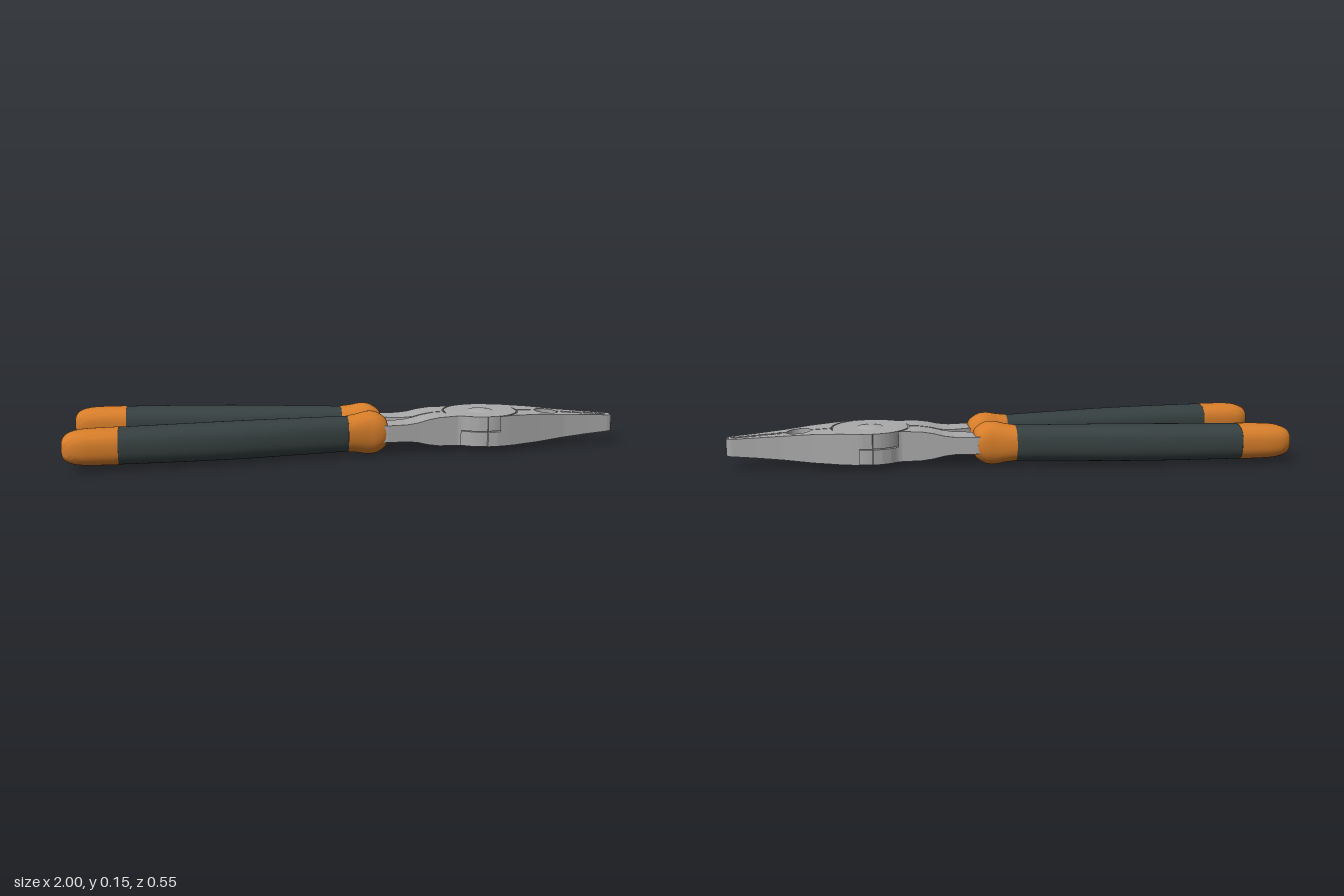
import * as THREE from 'three';
import { toCreasedNormals } from 'three/addons/utils/BufferGeometryUtils.js';

const MID = 0.078;      // height of the tool's middle plane
const PIVOT = 0.495;    // x of the joint

// Piecewise-linear lookup: table rows are [x, value, value...]
function lookup(table, x, col = 1) {
  if (x <= table[0][0]) return table[0][col];
  for (let i = 1; i < table.length; i++) {
    const a = table[i - 1], b = table[i];
    if (x <= b[0]) return a[col] + (b[col] - a[col]) * (x - a[0]) / (b[0] - a[0]);
  }
  return table[table.length - 1][col];
}

// Half a circle's width at x
const arc = (x, cx, r) => Math.sqrt(Math.max(0, r * r - (x - cx) ** 2));

// Skin a row of closed sections (points [x, y, z]) that advance along +x
function loft(sections, crease) {
  const n = sections[0].length, pos = sections.flat(2), index = [];
  sections.forEach((_, i) => {
    if (i === sections.length - 1) return;
    for (let j = 0; j < n; j++) {
      const a = i * n + j, b = i * n + (j + 1) % n;
      index.push(a, b, a + n, b, b + n, a + n);
    }
  });
  const last = (sections.length - 1) * n;
  for (let j = 1; j < n - 1; j++) {
    index.push(0, j + 1, j, last, last + j, last + j + 1);
  }
  const geo = new THREE.BufferGeometry();
  geo.setAttribute('position', new THREE.Float32BufferAttribute(pos, 3));
  geo.setIndex(index);
  return toCreasedNormals(geo, crease);
}

// Outer edge of the steel, and its half thickness
const OUTER = [[0.05, 0.135], [0.13, 0.133], [0.25, 0.119], [0.39, 0.103], [0.405, 0.106], [0.43, 0.122],
  [0.46, 0.133], [0.495, 0.137], [0.53, 0.135], [0.57, 0.125], [0.63, 0.107], [0.7, 0.087], [0.8, 0.06],
  [0.9, 0.041], [0.985, 0.028], [0.995, 0.022], [1, 0.014]];
const THICK = [[0.05, 0.03], [0.2, 0.031], [0.24, 0.036], [0.28, 0.046], [0.32, 0.052], [0.4, 0.055],
  [0.6, 0.055], [0.7, 0.051], [0.8, 0.043], [0.9, 0.036], [1, 0.03]];
const TANG_INNER = [[0.05, 0.055], [0.13, 0.036], [0.24, 0.005], [0.36, 0.002]];

// Flat steel part between x0 and x1; range(x) gives [zMin, zMax], floor(h) the underside
function steelPart(x0, x1, steps, range, floor = (h) => -h) {
  const sections = [];
  for (let i = 0; i <= steps; i++) {
    const x = x0 + (x1 - x0) * i / steps, h = lookup(THICK, x);
    const [a, b] = range(x);
    sections.push([[x, h, a], [x, h, b], [x, floor(h), b], [x, floor(h), a]]);
  }
  return loft(sections, 0.5);
}

// Jaw with joint cut-out, half of the round wire hole, and teeth
function jawRange(x) {
  const tooth = x > 0.805 && x < 0.981 ? 0.011 * Math.abs(Math.sin((x - 0.805) / 0.022 * Math.PI)) : 0;
  const inner = Math.max(0.003, arc(x, PIVOT, 0.14), arc(x, 0.748, 0.043), tooth);
  const outer = lookup(OUTER, x);
  return [-outer, -Math.min(inner, outer)];
}

function tangRange(x) {
  const outer = lookup(OUTER, x);
  return [Math.min(outer, Math.max(lookup(TANG_INNER, x), arc(x, PIVOT, 0.14))), outer];
}

// Half-thickness joint plate that crosses over the other half
function plateRange(x) {
  const outer = lookup(OUTER, x), round = Math.min(outer, arc(x, PIVOT, 0.134));
  return x < PIVOT ? [-round, outer] : [-outer, round];
}

// Soft handle part; rows are [x, centre z, half width, half height]
function gripPart(rows, steps, power) {
  const zy = new THREE.CatmullRomCurve3(rows.map((r) => new THREE.Vector3(r[0], r[1], 0)));
  const size = new THREE.CatmullRomCurve3(rows.map((r) => new THREE.Vector3(r[0], r[2], r[3])));
  const sections = [], sides = 40;
  const bend = (v) => Math.sign(v) * Math.abs(v) ** (2 / power);
  for (let i = 0; i <= steps; i++) {
    const c = zy.getPoint(i / steps), s = size.getPoint(i / steps), ring = [];
    for (let j = 0; j < sides; j++) {
      const t = j / sides * Math.PI * 2;
      ring.push([s.x, s.z * bend(Math.cos(t)), c.y + s.y * bend(Math.sin(t))]);
    }
    sections.push(ring);
  }
  return loft(sections, 0.8);
}

const GRIP = [[-0.815, 0.203, 0.069, 0.062], [-0.6, 0.182, 0.072, 0.064], [-0.4, 0.157, 0.073, 0.065],
  [-0.2, 0.128, 0.066, 0.064], [-0.01, 0.1, 0.056, 0.063]];
const CAP = [[-1, 0.213, 0.012, 0.012], [-0.998, 0.213, 0.032, 0.028], [-0.988, 0.213, 0.048, 0.043],
  [-0.965, 0.212, 0.06, 0.054], [-0.93, 0.211, 0.066, 0.06], [-0.88, 0.208, 0.068, 0.062],
  [-0.81, 0.203, 0.07, 0.063]];
const COLLAR = [[-0.015, 0.101, 0.061, 0.064], [0.02, 0.094, 0.062, 0.069], [0.06, 0.086, 0.063, 0.077],
  [0.09, 0.083, 0.062, 0.074], [0.115, 0.081, 0.056, 0.06], [0.128, 0.08, 0.048, 0.046],
  [0.13, 0.08, 0.035, 0.033]];

export function createModel() {
  const steel = new THREE.MeshStandardMaterial({ name: 'steel', color: 0xaaaaaa });
  const rubber = new THREE.MeshStandardMaterial({ name: 'darkRubber', color: 0x364040 });
  const orange = new THREE.MeshStandardMaterial({ name: 'orangeRubber', color: 0xd67d2a });

  const parts = [
    ['jaw', steelPart(0.54, 1, 184, jawRange), steel],
    ['tang', steelPart(0.05, 0.402, 140, tangRange), steel],
    ['jointPlate', steelPart(0.3612, 0.6288, 90, plateRange, () => 0.0015), steel],
    ['grip', gripPart(GRIP, 24, 2.6), rubber],
    ['gripEnd', gripPart(CAP, 24, 2.6), orange],
    ['collar', gripPart(COLLAR, 24, 2.4), orange],
  ];

  const model = new THREE.Group();
  model.name = 'pliers';

  // The second half is the first turned over about the long axis
  ['upperHalf', 'lowerHalf'].forEach((name, i) => {
    const half = new THREE.Group();
    half.name = name;
    half.position.y = MID;
    half.rotation.x = i * Math.PI;
    for (const [label, geo, mat] of parts) {
      const mesh = new THREE.Mesh(geo, mat);
      mesh.name = label;
      half.add(mesh);
    }
    model.add(half);
  });

  // Domed rivet through the joint
  const profile = [[0, -0.061], [0.025, -0.0605], [0.042, -0.058], [0.052, -0.054],
    [0.052, 0.054], [0.042, 0.058], [0.025, 0.0605], [0, 0.061]].map((p) => new THREE.Vector2(...p));
  const rivet = new THREE.Mesh(toCreasedNormals(new THREE.LatheGeometry(profile, 40), 0.5), steel);
  rivet.name = 'rivet';
  rivet.position.set(PIVOT, MID, 0);
  model.add(rivet);

  return model;
}
